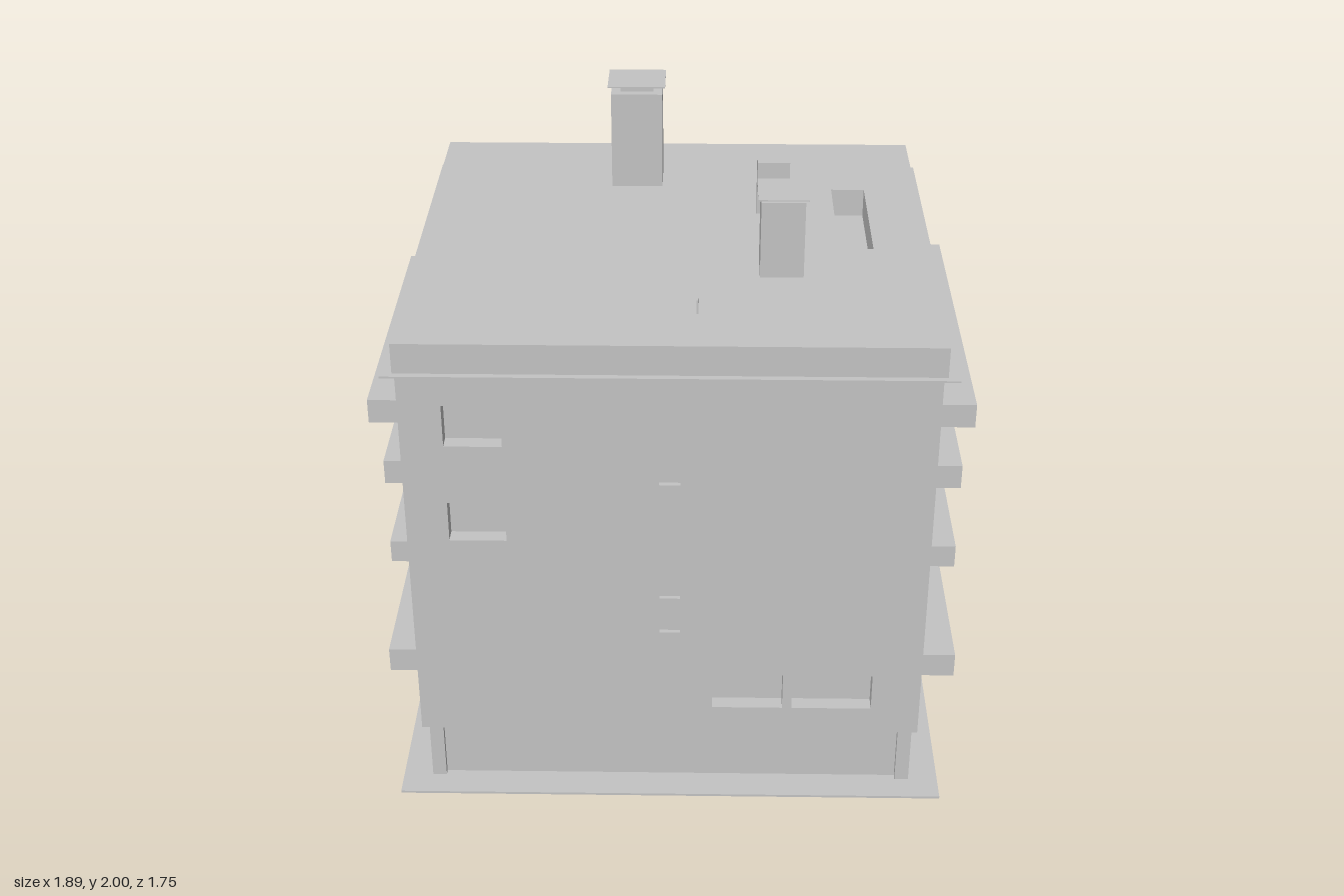
import * as THREE from 'three';

export function createModel() {
  const group = new THREE.Group();
  const grey = new THREE.MeshStandardMaterial({ color: 0xc4c4c4 });
  grey.name = 'concreteGrey';

  const add = (name, geometry) => {
    const mesh = new THREE.Mesh(geometry, grey);
    mesh.name = name;
    group.add(mesh);
    return mesh;
  };
  // Box given by its limits along each axis
  const block = (name, x0, x1, y0, y1, z0, z1) => {
    const g = new THREE.BoxGeometry(x1 - x0, y1 - y0, z1 - z0);
    g.translate((x0 + x1) / 2, (y0 + y1) / 2, (z0 + z1) / 2);
    return add(name, g);
  };
  // Rectangular slab outline with rectangular openings, extruded along z
  const slab = (rect, holes, depth) => {
    const points = ([a, b, c, d]) => [[a, c], [b, c], [b, d], [a, d]].map(p => new THREE.Vector2(...p));
    const shape = new THREE.Shape(points(rect));
    holes.forEach(h => shape.holes.push(new THREE.Path(points(h).reverse())));
    return new THREE.ExtrudeGeometry(shape, { depth, bevelEnabled: false });
  };

  // Main body with a front wall holding four recessed openings
  block('body', -0.805, 0.8, 0.225, 1.545, -0.705, 0.76);
  const wall = slab([-0.805, 0.8, 0.225, 1.545], [
    [-0.675, -0.5, 1.29, 1.43], [-0.675, -0.5, 0.955, 1.09],
    [0.135, 0.36, 0.32, 0.45], [0.39, 0.645, 0.32, 0.45],
  ], 0.05);
  wall.translate(0, 0, 0.76);
  add('frontWall', wall);

  // Roof slab with a slot, and the thin flange below it
  const roof = slab([-0.81, 0.81, -0.82, 0.71], [[0.525, 0.635, -0.155, 0.31]], 0.1);
  roof.rotateX(-Math.PI / 2);
  roof.translate(0, 1.54, 0);
  add('roof', roof);
  block('roofFlange', -0.845, 0.845, 1.537, 1.543, -0.735, 0.84);

  // Chimneys with flat caps, and a plain vent box
  const chimney = (x0, x1, z0, z1, top, capY) => {
    block('chimneyShaft', x0, x1, 1.64, top, z0, z1);
    block('chimneyNeck', x0 + 0.03, x1 - 0.03, top, capY, z0 + 0.03, z1 - 0.03);
    block('chimneyCap', x0 - 0.01, x1 + 0.01, capY - 0.004, capY, z0 - 0.015, z1 + 0.015);
  };
  chimney(-0.215, -0.045, -0.465, -0.33, 1.968, 2);
  chimney(0.27, 0.405, 0.23, 0.365, 1.89, 1.905);
  block('roofVent', 0.27, 0.375, 1.64, 1.82, -0.19, -0.11);
  block('roofFin', 0.077, 0.083, 1.665, 1.71, 0.62, 0.665);

  // Four levels of ledges on both sides and the back
  const levels = [[0.245, 0.33], [0.56, 0.64], [0.87, 0.955], [1.21, 1.29]];
  const lampY = [0.43, 0.72, 1.05, 1.37];
  levels.forEach(([y0, y1], i) => {
    const front = i === 0 || i === 3 ? 0.535 : 0.35;
    block('leftLedge', 0.795, 0.945, y0, y1, i === 3 ? -0.63 : -0.5, front);
    block('rightLedge', -0.945, -0.8, y0, y1, -0.5, front);
    block('backLedge', 0, 0.515, y0, y1, -0.875, -0.7);
    block('backLamp', 0.025, 0.08, lampY[i], lampY[i] + 0.055, -0.75, -0.7);
  });

  // Small boxes on the walls
  [0.58, 0.71, 1.125].forEach(y => block('frontLamp', -0.032, 0.032, y, y + 0.045, 0.8, 0.825));
  block('leftLamp', 0.795, 0.825, 1.335, 1.385, 0.425, 0.485);
  block('rightPanel', -0.811, -0.8, 1.24, 1.38, 0.54, 0.7);

  // Ladder of thin rungs at the back corner
  for (let i = 0; i < 15; i++) {
    const rung = new THREE.Shape([[-0.79, -0.62], [-0.845, -0.64], [-0.82, -0.735], [-0.79, -0.735]]
      .map(p => new THREE.Vector2(...p)));
    const g = new THREE.ExtrudeGeometry(rung, { depth: 0.008, bevelEnabled: false });
    g.rotateX(Math.PI / 2);
    g.translate(0, 0.29 + i * 0.085, 0);
    add('ladderRung', g);
  }

  // Base plate, recessed plinth, corner posts and side panels
  block('basePlate', -0.88, 0.88, 0, 0.008, -0.79, 0.87);
  block('plinth', -0.7, 0.7, 0.005, 0.226, -0.6, 0.75);
  block('plinthFront', -0.75, 0.75, 0.005, 0.226, 0.74, 0.765);
  for (const s of [-1, 1]) {
    const side = (name, z0, z1) =>
      block(name, Math.min(s * 0.74, s * 0.785), Math.max(s * 0.74, s * 0.785), 0.005, 0.226, z0, z1);
    side('frontPost', 0.74, 0.785);
    side('backPost', -0.695, -0.65);
    [[0.5, 0.73], [0.05, 0.38], [-0.24, -0.16], [-0.64, -0.26]].forEach(([a, b]) => side('sidePanel', a, b));
  }
  [[-0.5, -0.3], [0.1, 0.3], [0.4, 0.6]].forEach(([a, b]) => block('backPanel', a, b, 0.005, 0.226, -0.68, -0.6));

  return group;
}
